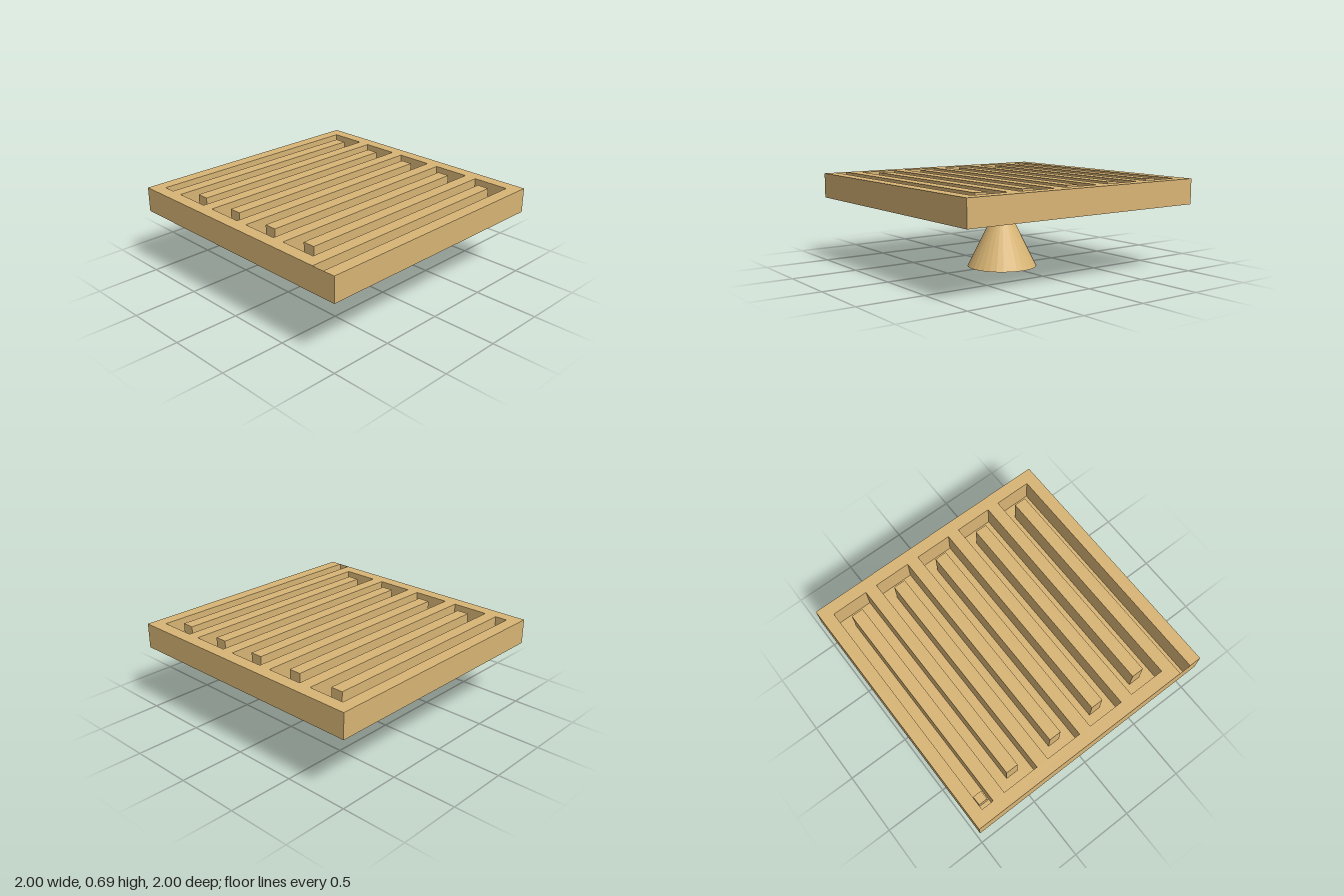
import * as THREE from 'three';

const CELL = 2 / 21;      // width of the channel and of the bars
const FLOOR = 0.504, TOP = 0.695;
const COLUMNS = 10;

// One bank of the serpentine channel, as [x, z] points from the front exit to the dead end
function channelBank(side) {
  const points = [];
  let z = 1;
  for (let i = 0; i < COLUMNS; i++) {
    const odd = i % 2 === 1;
    const x = 1 - CELL * (1.5 + 2 * i) + side * (odd ? -1 : 1) * CELL / 2;
    let end;
    if (i === COLUMNS - 1) end = 1 - CELL;
    else if (odd) end = 1 - CELL * (side > 0 ? 2 : 1);
    else end = -1 + CELL * (side > 0 ? 1 : 2);
    points.push([x, z], [x, end]);
    z = end;
  }
  return points;
}

// Flat horizontal sheet from an outline of [x, z] points
function sheet(points, y) {
  const shape = new THREE.Shape(points.map(([x, z]) => new THREE.Vector2(x, -z)));
  return new THREE.ShapeGeometry(shape).rotateX(-Math.PI / 2).translate(0, y, 0);
}

// Upright wall following a line of [x, z] points
function wall(points) {
  const position = [];
  for (let i = 0; i < points.length - 1; i++) {
    const [ax, az] = points[i], [bx, bz] = points[i + 1];
    position.push(ax, FLOOR, az, bx, FLOOR, bz, bx, TOP, bz);
    position.push(ax, FLOOR, az, bx, TOP, bz, ax, TOP, az);
  }
  const geometry = new THREE.BufferGeometry();
  geometry.setAttribute('position', new THREE.Float32BufferAttribute(position, 3));
  geometry.computeVertexNormals();
  return geometry;
}

export function createModel() {
  const group = new THREE.Group();
  const wood = new THREE.MeshStandardMaterial({
    color: 0xdab676, side: THREE.DoubleSide, flatShading: true,
  });
  wood.name = 'light wood';

  const add = (name, geometry) => {
    const mesh = new THREE.Mesh(geometry, wood);
    mesh.name = name;
    group.add(mesh);
    return mesh;
  };

  // Maze board: a thin shell, open underneath
  const channel = [...channelBank(1), ...channelBank(-1).reverse()];
  add('boardTop', sheet([...channel, [-1, 1], [-1, -1], [1, -1], [1, 1]], TOP));
  add('channelFloor', sheet(channel, FLOOR));
  add('channelWalls', wall(channel));
  add('boardSides', wall([[-1, 1], [1, 1], [1, -1], [-1, -1], [-1, 1]]));

  // Small block lying at the dead end of the channel
  const size = 0.07;
  add('mazeBlock', new THREE.BoxGeometry(size, size, size))
    .position.set(-1 + CELL * 1.5, FLOOR + size / 2, 0.815);

  // Conical stand whose tip carries the board
  const height = 0.535;
  add('coneStand', new THREE.ConeGeometry(0.267, height, 32)).position.y = height / 2;

  return group;
}
